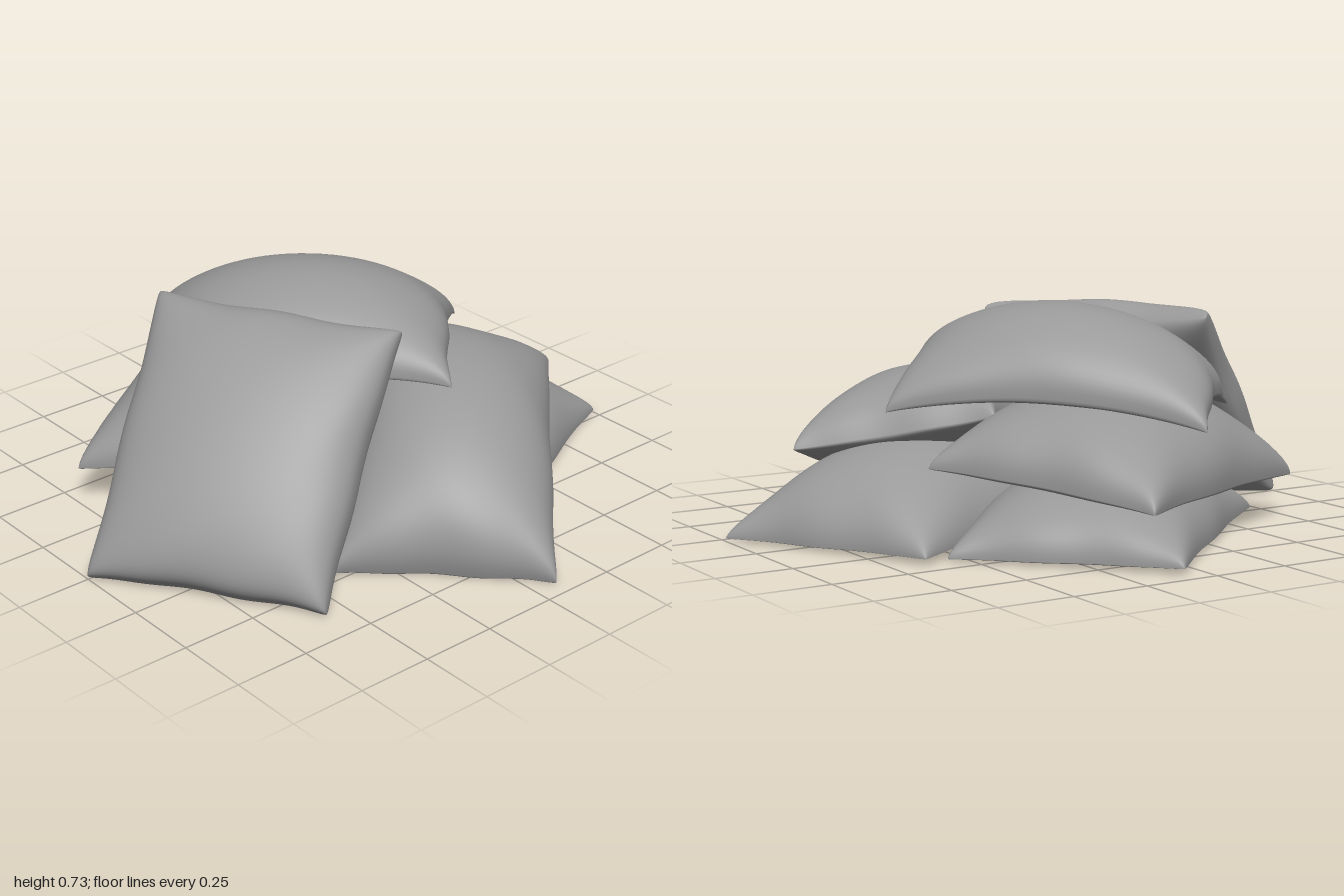
import * as THREE from 'three';
import { mergeVertices } from 'three/addons/utils/BufferGeometryUtils.js';

const SEG = 40;

// One stuffed cushion stretched over four corners (given in order around it).
// top / under: how far each face swells, arch: how far the middle is draped upward,
// puff: lower values give steeper, fuller sides.
function cushionGeometry({ corners, top, under, arch = 0, puff = 0.42, inset = 0.07, seed = 0 }) {
  let [a, b, c, d] = corners.map((p) => new THREE.Vector3(...p));
  const normal = new THREE.Vector3().crossVectors(c.clone().sub(a), d.clone().sub(b)).normalize();
  if (normal.y < 0) {
    [b, d] = [d, b];
    normal.negate();
  }
  const positions = [];
  const index = [];
  const point = (i, j, side) => {
    // finer sampling towards the seams
    const u = Math.sin((i / SEG - 0.5) * Math.PI);
    const v = Math.sin((j / SEG - 0.5) * Math.PI);
    const rim = Math.max(0, (1 - u * u) * (1 - v * v));
    // seams pulled in between blunt corners, with a faint pucker
    const blunt = 1.05 - 0.05 * Math.pow(u * v, 10);
    const pucker = 0.01 * Math.sin(7 * (u - v) + seed) * (1 - rim);
    const s = (u * blunt * (1 - inset * (1 - v ** 6)) + pucker * (1 - v * v) + 1) / 2;
    const t = (v * blunt * (1 - inset * (1 - u ** 6)) - pucker * (1 - u * u) + 1) / 2;
    const p = a.clone().lerp(b, s).lerp(d.clone().lerp(c, s), t);
    const drape = arch * (1 - (u * u + v * v) / 2);
    const swell = side > 0 ? top : -under;
    p.addScaledVector(normal, drape + swell * Math.pow(rim, puff));
    p.y = Math.max(p.y, 0);
    positions.push(p.x, p.y, p.z);
  };
  for (const side of [1, -1]) {
    const base = positions.length / 3;
    for (let j = 0; j <= SEG; j++) for (let i = 0; i <= SEG; i++) point(i, j, side);
    for (let j = 0; j < SEG; j++) {
      for (let i = 0; i < SEG; i++) {
        const p = base + j * (SEG + 1) + i;
        const q = p + SEG + 1;
        if (side > 0) index.push(p, p + 1, q + 1, p, q + 1, q);
        else index.push(p, q + 1, p + 1, p, q, q + 1);
      }
    }
  }
  let geometry = new THREE.BufferGeometry();
  geometry.setAttribute('position', new THREE.Float32BufferAttribute(positions, 3));
  geometry.setIndex(index);
  geometry = mergeVertices(geometry, 1e-5);
  geometry.computeVertexNormals();
  return geometry;
}

const CUSHIONS = [
  // flat on the ground
  { name: 'lowerSideCushion', top: 0.29, under: 0.02, puff: 0.5, seed: 0,
    corners: [[0.65, 0.02, -0.43], [1.0, 0.01, 0.22], [0.1, 0.01, 0.66], [-0.25, 0.06, 0.01]] },
  { name: 'lowerBackCushion', top: 0.24, under: 0.02, puff: 0.45, seed: 1,
    corners: [[0.08, 0.02, -0.95], [0.57, 0.01, -0.42], [-0.16, 0.005, 0.28], [-0.71, 0.01, -0.24]] },
  // resting on the lower ones
  { name: 'middleBackCushion', top: 0.26, under: 0.04, arch: 0.02, seed: 2,
    corners: [[0.16, 0.18, -0.91], [0.52, 0.25, -0.22], [-0.38, 0.26, 0.29], [-0.76, 0.14, -0.39]] },
  { name: 'frontCushion', top: 0.31, under: 0.05, seed: 3,
    corners: [[0.08, 0.005, 0.95], [0.76, 0.27, 0.22], [0.27, 0.39, -0.2], [-0.41, 0.005, 0.46]] },
  // draped over the top
  { name: 'topCushion', top: 0.18, under: 0.06, arch: 0.14, puff: 0.38, seed: 4,
    corners: [[-0.13, 0.38, -0.77], [0.58, 0.41, -0.06], [0.09, 0.48, 0.45], [-0.6, 0.37, -0.25]] },
  // propped up against the pile
  { name: 'leaningCushion', top: 0.18, under: 0.13, puff: 0.36, seed: 5,
    corners: [[-1.0, 0.01, 0.0], [-0.58, 0.01, 0.64], [-0.03, 0.67, 0.35], [-0.43, 0.68, -0.36]] },
];

export function createModel() {
  const group = new THREE.Group();
  group.name = 'cushionPile';
  const fabric = new THREE.MeshStandardMaterial({ color: 0x999999 });
  fabric.name = 'greyFabric';
  for (const cushion of CUSHIONS) {
    const mesh = new THREE.Mesh(cushionGeometry(cushion), fabric);
    mesh.name = cushion.name;
    group.add(mesh);
  }
  return group;
}
